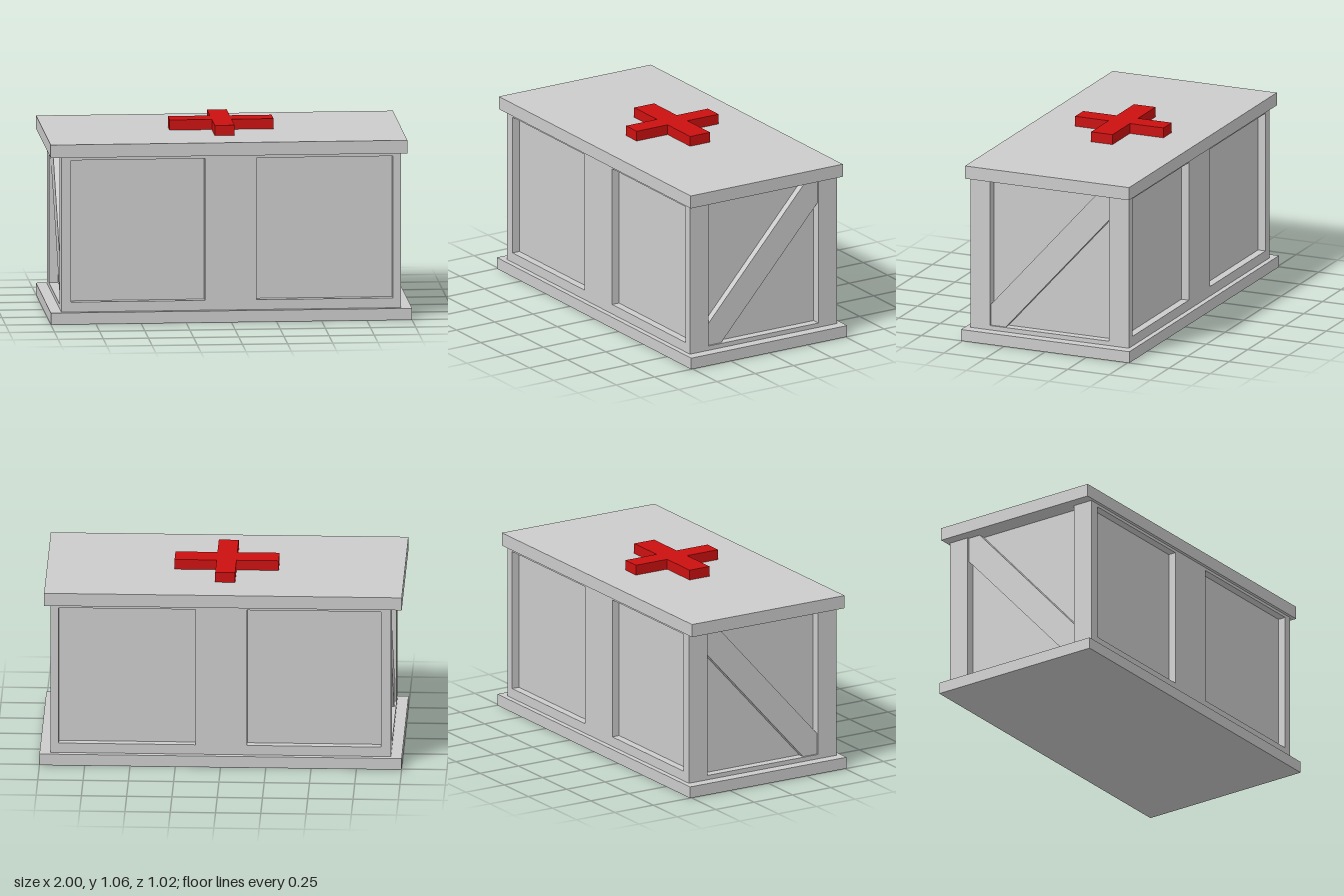
import * as THREE from 'three';

const grey = new THREE.MeshStandardMaterial({ color: 0xcccccc, flatShading: true });
const red = new THREE.MeshStandardMaterial({ color: 0xcc1010, flatShading: true });

const outline = (points) => new THREE.Shape(points.map(([a, b]) => new THREE.Vector2(a, b)));
const rect = (x0, x1, y0, y1) => [[x0, y0], [x1, y0], [x1, y1], [x0, y1]];
const extrude = (shape, depth) => new THREE.ExtrudeGeometry(shape, { depth, bevelEnabled: false });

export function createModel() {
  const group = new THREE.Group();
  const add = (name, geometry, material = grey) => {
    const mesh = new THREE.Mesh(geometry, material);
    mesh.name = name;
    group.add(mesh);
    return mesh;
  };
  const addBox = (name, x0, x1, y0, y1, z0, z1) =>
    add(name, new THREE.BoxGeometry(x1 - x0, y1 - y0, z1 - z0))
      .position.set((x0 + x1) / 2, (y0 + y1) / 2, (z0 + z1) / 2);

  const bottom = 0.065, top = 0.93;
  const bodyX = 0.94, bodyZ = 0.48;
  const coreX = 0.89, coreZ = 0.435;

  // Base, lid and the inner box that backs the recessed panels
  addBox('base', -1, 1, 0, bottom, -0.51, 0.51);
  addBox('lid', -1, 0.975, top, 1.003, -0.497, 0.497);
  addBox('innerBox', -coreX, coreX, bottom, top, -coreZ, coreZ);

  // Front and back frames, each with two panel openings
  const longFrame = outline(rect(-bodyX, bodyX, bottom, top));
  for (const [x0, x1] of [[-0.885, -0.145], [0.14, 0.895]]) {
    longFrame.holes.push(outline(rect(x0, x1, 0.12, 0.913)));
  }
  const longGeometry = extrude(longFrame, bodyZ - coreZ);
  add('frontFrame', longGeometry).position.z = coreZ;
  add('backFrame', longGeometry).position.z = -bodyZ;

  // End frames (posts and sill) with a slightly inset diagonal brace
  const w = 0.36, sill = 0.09;
  const endFrame = outline([
    [-coreZ, bottom], [coreZ, bottom], [coreZ, top], [w, top],
    [w, sill], [-w, sill], [-w, top], [-coreZ, top],
  ]);
  const brace = outline([
    [w, sill], [w, 0.21], [-0.285, top], [-w, top], [-w, 0.79], [0.27, sill],
  ]);
  const frameDepth = bodyX - coreX, braceDepth = frameDepth - 0.01;
  const endGeometry = extrude(endFrame, frameDepth).rotateY(-Math.PI / 2);
  const braceGeometry = extrude(brace, braceDepth).rotateY(-Math.PI / 2);
  add('leftEndFrame', endGeometry).position.x = bodyX;
  add('rightEndFrame', endGeometry).position.x = -coreX;
  add('leftBrace', braceGeometry).position.x = coreX + braceDepth;
  add('rightBrace', braceGeometry).position.x = -coreX;

  // Raised cross on the lid
  const [l, r, il, ir] = [-0.305, 0.27, -0.072, 0.038];
  const [n, f, inn, inf] = [-0.255, 0.28, -0.053, 0.077];
  const cross = outline([
    [il, n], [ir, n], [ir, inn], [r, inn], [r, inf], [ir, inf],
    [ir, f], [il, f], [il, inf], [l, inf], [l, inn], [il, inn],
  ]);
  add('cross', extrude(cross, 0.06).rotateX(-Math.PI / 2), red).position.y = 1;

  return group;
}
